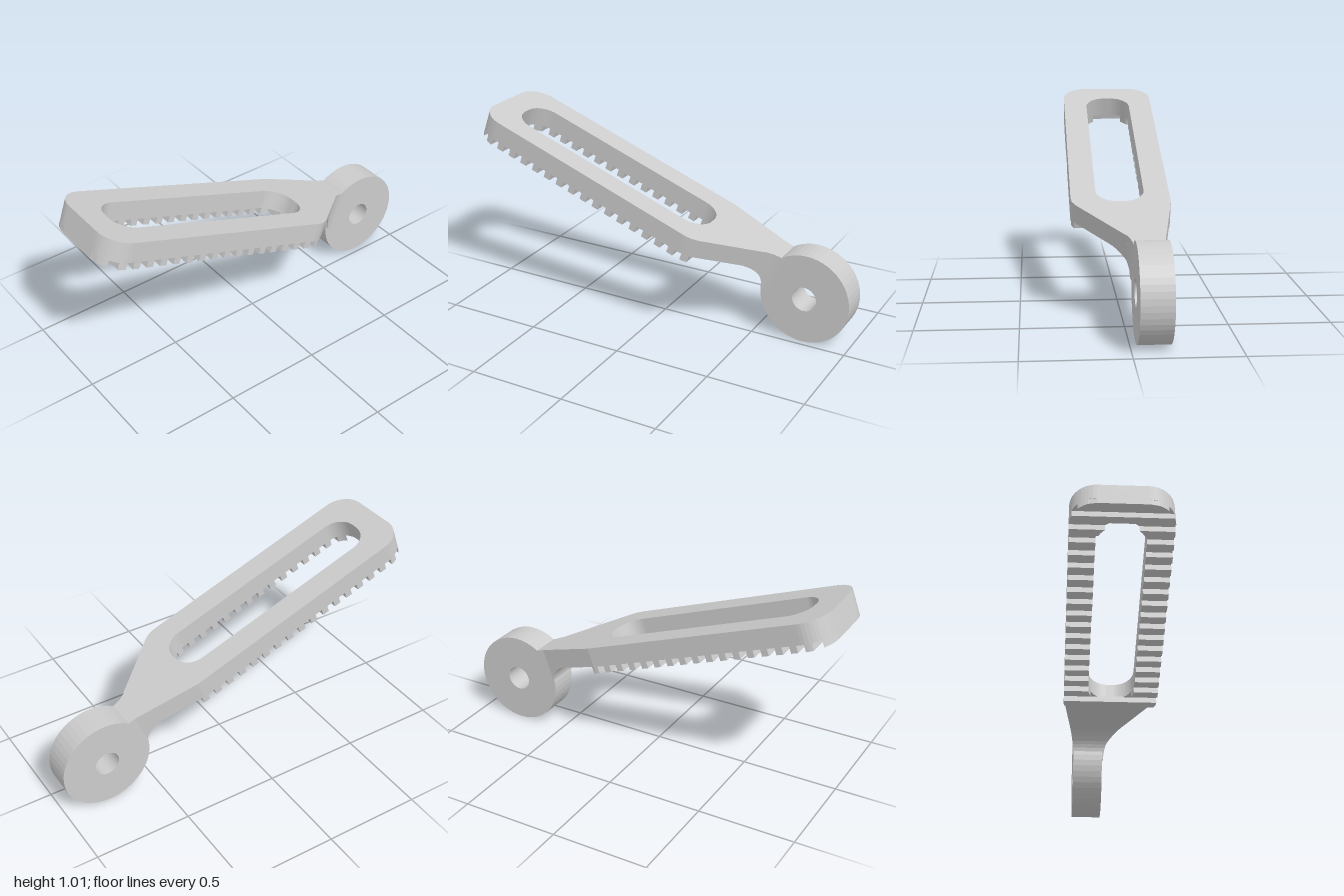
import * as THREE from 'three';

const mat = new THREE.MeshStandardMaterial({ color: 0xcccccc, flatShading: true });

// Plan of the arm: u runs back from the front end, x is the edge position.
const LEFT = [[0.125, 0.245], [1.27, 0.245], [1.302, 0.24], [1.335, 0.223], [1.595, 0.015],
  [1.62, -0.007], [1.65, -0.021], [1.68, -0.028], [1.71, -0.03]];
const RIGHT = [[0.125, -0.245], [1.31, -0.245], [1.65, -0.185], [1.71, -0.185]];
const R = 0.125; // front corner radius
const BODY = 0.102, TOTAL = 0.138; // thickness without and with teeth
const SLOT0 = 0.13, SLOT1 = 1.3, SLOT_W = 0.12, SLOT_R = 0.105;

function edge(u, side) {
  if (u < R) return side * (0.12 + Math.sqrt(Math.max(0, R * R - (R - u) ** 2)));
  const pts = side > 0 ? LEFT : RIGHT;
  for (let i = 1; i < pts.length; i++) {
    const [u0, x0] = pts[i - 1], [u1, x1] = pts[i];
    if (u <= u1) return x0 + (x1 - x0) * (u - u0) / (u1 - u0);
  }
  return pts[pts.length - 1][1];
}

// Half width of the slot at u (0 outside it).
function slotHalf(u) {
  const e = Math.min(u - SLOT0, SLOT1 - u);
  if (e <= 0) return 0;
  if (e >= SLOT_R) return SLOT_W;
  return SLOT_W - SLOT_R + Math.sqrt(SLOT_R ** 2 - (SLOT_R - e) ** 2);
}

const shapeOf = (pts) => new THREE.Shape(pts.map(([x, u]) => new THREE.Vector2(x, -u)));

function extrude(shape, from, to, name) {
  const geo = new THREE.ExtrudeGeometry(shape, { depth: to - from, bevelEnabled: false, curveSegments: 12 });
  geo.translate(0, 0, from);
  const mesh = new THREE.Mesh(geo, mat);
  mesh.name = name;
  return mesh;
}

// Flat slotted arm with rounded front and tapered neck.
function slottedArm() {
  const corner = [];
  for (let i = 0; i <= 10; i++) corner.push(R * (1 - Math.cos(i / 10 * Math.PI / 2)));
  const side = (s, pts) => [...corner, ...pts.slice(1).map((p) => p[0])].map((u) => [edge(u, s), u]);
  const shape = shapeOf([...side(1, LEFT), ...side(-1, RIGHT).reverse()]);
  const hole = new THREE.Path();
  const cx = SLOT_W - SLOT_R, top = -SLOT0 - SLOT_R, bottom = -SLOT1 + SLOT_R;
  hole.absarc(cx, top, SLOT_R, 0, Math.PI / 2);
  hole.absarc(-cx, top, SLOT_R, Math.PI / 2, Math.PI);
  hole.absarc(-cx, bottom, SLOT_R, Math.PI, Math.PI * 1.5);
  hole.absarc(cx, bottom, SLOT_R, Math.PI * 1.5, Math.PI * 2);
  shape.holes.push(hole);
  return extrude(shape, 0, BODY, 'slottedArm');
}

// Gripping teeth across the underside, cut by the outline and the slot.
function teeth() {
  const group = new THREE.Group();
  group.name = 'teeth';
  const pitch = 0.0757, width = 0.036;
  for (let i = 0; i < 18; i++) {
    const us = [];
    for (let k = 0; k <= 5; k++) us.push(i * pitch + width * k / 5);
    const line = (f) => us.map((u) => [f(u), u]);
    const add = (a, b) =>
      group.add(extrude(shapeOf([...line(a), ...line(b).reverse()]), BODY - 0.004, TOTAL, 'tooth'));
    if (slotHalf((us[0] + us[5]) / 2) > 0) {
      for (const s of [1, -1]) add((u) => edge(u, s), (u) => s * slotHalf(u));
    } else {
      add((u) => edge(u, 1), (u) => edge(u, -1));
    }
  }
  return group;
}

// Curved web blending the neck into the ring, shaped from a box.
function neckFillet() {
  const geo = new THREE.BoxGeometry(1, 1, 1, 1, 14, 1).toNonIndexed();
  const p = geo.attributes.position;
  const u0 = 1.52, u1 = 1.7, reach = 0.135;
  for (let i = 0; i < p.count; i++) {
    const u = u0 + (u1 - u0) * (0.5 - p.getY(i));
    const t = Math.min(1, (u - u0) / reach);
    const low = BODY - 0.002 + 0.112 * (1 - Math.sqrt(1 - t * t));
    p.setXYZ(i, edge(u, p.getX(i) > 0 ? 1 : -1), -u, p.getZ(i) > 0 ? low : 0.05);
  }
  geo.computeVertexNormals();
  const mesh = new THREE.Mesh(geo, mat);
  mesh.name = 'neckFillet';
  return mesh;
}

// Upright pivot ring with a through hole.
function pivotRing() {
  const shape = new THREE.Shape().absarc(0, 0, 0.236, 0, Math.PI * 2);
  shape.holes.push(new THREE.Path().absarc(0, 0, 0.064, 0, Math.PI * 2, true));
  const geo = new THREE.ExtrudeGeometry(shape, { depth: 0.155, bevelEnabled: false, curveSegments: 24 });
  const mesh = new THREE.Mesh(geo, mat);
  mesh.name = 'pivotRing';
  mesh.rotation.y = Math.PI / 2;
  mesh.position.set(-0.185, 0.236, -0.764);
  return mesh;
}

export function createModel() {
  const model = new THREE.Group();
  model.name = 'toothedClampArm';
  const arm = new THREE.Group();
  arm.name = 'arm';
  arm.add(slottedArm(), teeth(), neckFillet());
  // Arm slopes 20 degrees; its local z points out of the underside.
  arm.rotation.x = THREE.MathUtils.degToRad(70);
  arm.position.set(0, 1.012, 0.953);
  model.add(arm, pivotRing());
  return model;
}
